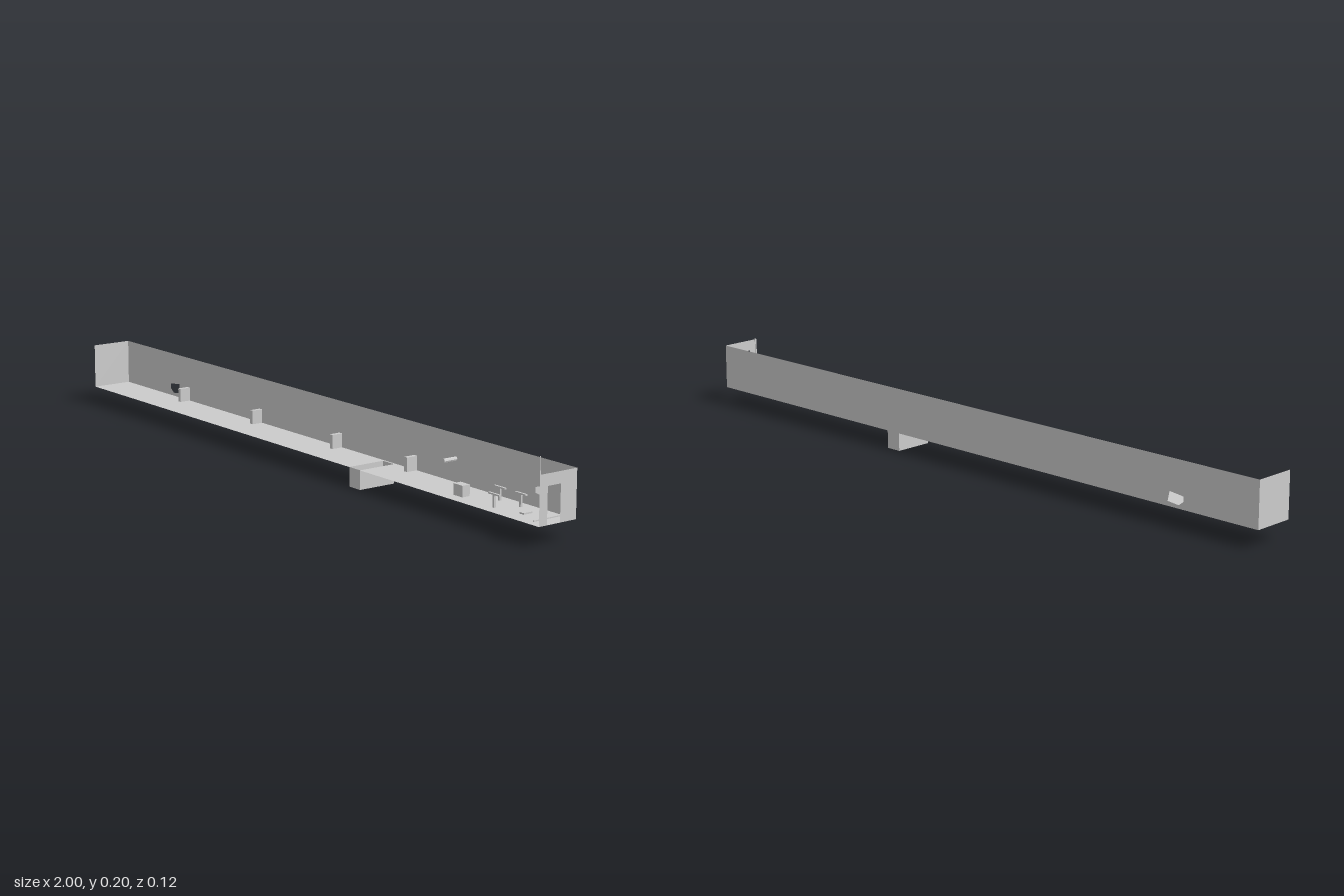
import * as THREE from 'three';

const FLOOR = 0.053, TOP = 0.181, DEPTH = 0.06;
const mat = new THREE.MeshStandardMaterial({ color: 0xcccccc, side: THREE.DoubleSide, flatShading: true });

export function createModel() {
  const root = new THREE.Group();

  const add = (name, geometry, parent = root) => {
    const mesh = new THREE.Mesh(geometry, mat);
    mesh.name = name;
    parent.add(mesh);
    return mesh;
  };
  // box given by its minimum and maximum on each axis
  const box = (name, x0, x1, y0, y1, z0, z1, parent) => {
    const g = new THREE.BoxGeometry(x1 - x0, y1 - y0, z1 - z0);
    g.translate((x0 + x1) / 2, (y0 + y1) / 2, (z0 + z1) / 2);
    return add(name, g, parent);
  };
  const outline = (pts) => pts.map(([x, y]) => new THREE.Vector2(x, y));
  // flat sheet, optionally with a hole, drawn in the xy plane
  const sheet = (pts, hole) => {
    const shape = new THREE.Shape(outline(pts));
    if (hole) shape.holes.push(new THREE.Path(outline(hole)));
    return new THREE.ShapeGeometry(shape);
  };
  const rect = (a, b, c, d) => [[a, c], [b, c], [b, d], [a, d]];

  // back wall with an irregular opening
  add('backWall', sheet(rect(-1, 1, FLOOR, TOP),
    [[-0.765, 0.088], [-0.72, 0.093], [-0.714, 0.066], [-0.75, 0.062], [-0.765, 0.074]]
  ).translate(0, 0, -DEPTH));

  // end walls: one closed, one with a doorway (sheet x becomes -z)
  add('closedEndWall', sheet(rect(-DEPTH, DEPTH, FLOOR, TOP)).rotateY(Math.PI / 2).translate(-1, 0, 0));
  add('doorEndWall', sheet([
    [-DEPTH, FLOOR], [-0.034, FLOOR], [-0.034, 0.15], [0.008, 0.15],
    [0.008, FLOOR], [DEPTH, FLOOR], [DEPTH, TOP], [-DEPTH, TOP],
  ]).rotateY(Math.PI / 2).translate(1, 0, 0));

  // floor in two lengths with a sunken pit between them
  const pit = { x0: 0.262, x1: 0.308, z0: -0.054, z1: 0.059 };
  for (const [name, x0, x1] of [['floorRight', -1, pit.x0], ['floorLeft', pit.x1, 1]])
    add(name, sheet(rect(x0, x1, -DEPTH, DEPTH)).rotateX(-Math.PI / 2).translate(0, FLOOR, 0));
  add('floorStrip', sheet(rect(pit.x0, pit.x1, -pit.z0, DEPTH)).rotateX(-Math.PI / 2).translate(0, FLOOR, 0));

  const pitGroup = new THREE.Group();
  pitGroup.name = 'pit';
  root.add(pitGroup);
  add('pitBottom', sheet(rect(pit.x0, pit.x1, -pit.z1, -pit.z0)).rotateX(-Math.PI / 2), pitGroup);
  for (const z of [pit.z0, pit.z1])
    add('pitEnd', sheet(rect(pit.x0, pit.x1, 0, FLOOR)).translate(0, 0, z), pitGroup);
  for (const x of [pit.x0, pit.x1])
    add('pitSide', sheet(rect(-pit.z1, -pit.z0, 0, FLOOR)).rotateY(Math.PI / 2).translate(x, 0, 0), pitGroup);

  // low blocks along the back wall
  for (const x of [-0.67, -0.303, 0.07, 0.39])
    box('wallBlock', x - 0.006, x + 0.006, FLOOR, 0.092, -DEPTH, -0.027);

  // peg sticking out of the back wall
  const peg = new THREE.CylinderGeometry(0.006, 0.006, 0.042, 8);
  add('wallPeg', peg.rotateX(Math.PI / 2).translate(0.552, 0.115, -0.039));

  // crate on the floor
  box('crate', 0.645, 0.68, FLOOR, 0.083, 0.002, 0.026);

  // narrow T-shaped stands
  for (const [x, z] of [[0.757, -0.03], [0.8, 0.026], [0.835, -0.03]]) {
    const stand = new THREE.Group();
    stand.name = 'stand';
    stand.position.set(x, 0, z);
    root.add(stand);
    box('standPost', -0.003, 0.003, FLOOR, 0.086, -0.003, 0.003, stand);
    box('standTop', -0.02, 0.02, 0.085, 0.089, -0.003, 0.003, stand);
  }

  // thin slab on the floor
  box('floorSlab', 0.88, 0.895, FLOOR, 0.057, -0.014, 0.014);

  // pointed plate hanging from a thin rod
  box('hangingRod', 0.934, 0.936, 0.13, 0.205, -0.001, 0.001);
  add('hangingPlate', sheet([
    [-0.014, 0.131], [-0.014, 0.117], [0, 0.109], [0.014, 0.117], [0.014, 0.131],
  ]).rotateY(Math.PI / 2).translate(0.935, 0, 0));

  // low bar across the corridor behind the doorway
  box('crossBar', 0.979, 0.982, 0.062, 0.065, -DEPTH, DEPTH);

  return root;
}
